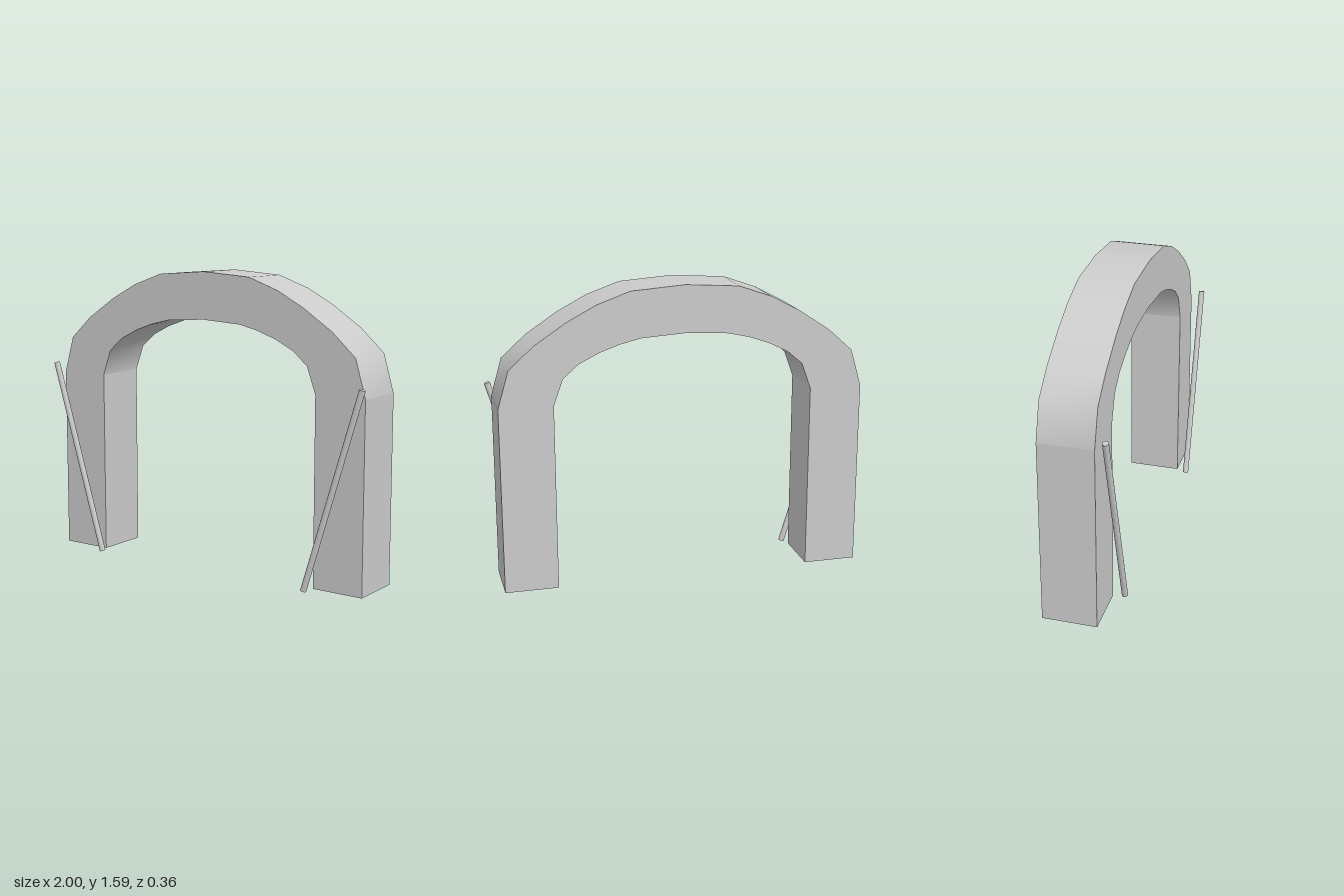
import * as THREE from 'three';
import { toCreasedNormals } from 'three/addons/utils/BufferGeometryUtils.js';

const SPRING = 1.0; // height where the legs turn into the vault

// Right half of each outline, from foot to crown
const OUTER = [[0.97, 0.005], [0.97, SPRING], [0.912, 1.198], [0.78, 1.317], [0.612, 1.428],
  [0.46, 1.508], [0.285, 1.57], [0, 1.59]];
const INNER = [[0.687, 0.005], [0.687, SPRING], [0.637, 1.139], [0.555, 1.21], [0.45, 1.262],
  [0.342, 1.3], [0.23, 1.326], [0, 1.34]];

// Complete a half outline by mirroring it across x = 0
function mirrored(half) {
  const left = half.slice(0, -1).reverse().map(([x, y]) => [-x, y]);
  return [...half, ...left].map(([x, y]) => new THREE.Vector2(x, y));
}

// Keep the straight legs flat while the vault stays smooth
function flattenLegs(geometry) {
  const p = geometry.attributes.position, n = geometry.attributes.normal;
  const tri = new THREE.Triangle(), face = new THREE.Vector3();
  for (let i = 0; i < p.count; i += 3) {
    tri.setFromAttributeAndIndices(p, i, i + 1, i + 2);
    if (Math.max(tri.a.y, tri.b.y, tri.c.y) > SPRING + 0.001) continue;
    tri.getNormal(face);
    for (let k = i; k < i + 3; k++) n.setXYZ(k, face.x, face.y, face.z);
  }
  return geometry;
}

export function createModel() {
  const group = new THREE.Group();
  const material = new THREE.MeshStandardMaterial({ color: 0xcccccc });

  // Arch: two legs and a faceted vault in one solid
  const shape = new THREE.Shape([...mirrored(OUTER), ...mirrored(INNER).reverse()]);
  const solid = new THREE.ExtrudeGeometry(shape, { depth: 0.288, bevelEnabled: false });
  solid.translate(0, 0, -0.18);
  const arch = new THREE.Mesh(flattenLegs(toCreasedNormals(solid, 0.65)), material);
  arch.name = 'arch';
  group.add(arch);

  // Slanted rods standing in front of the legs
  for (const [side, name] of [[1, 'leftRod'], [-1, 'rightRod']]) {
    const foot = new THREE.Vector3(side * 0.665, 0.005, 0.165);
    const tip = new THREE.Vector3(side * 0.984, 1.055, 0.165);
    const axis = tip.clone().sub(foot);
    const rod = new THREE.Mesh(new THREE.CylinderGeometry(0.016, 0.016, axis.length(), 16), material);
    rod.name = name;
    rod.position.copy(foot).lerp(tip, 0.5);
    rod.quaternion.setFromUnitVectors(new THREE.Vector3(0, 1, 0), axis.normalize());
    group.add(rod);
  }
  return group;
}
